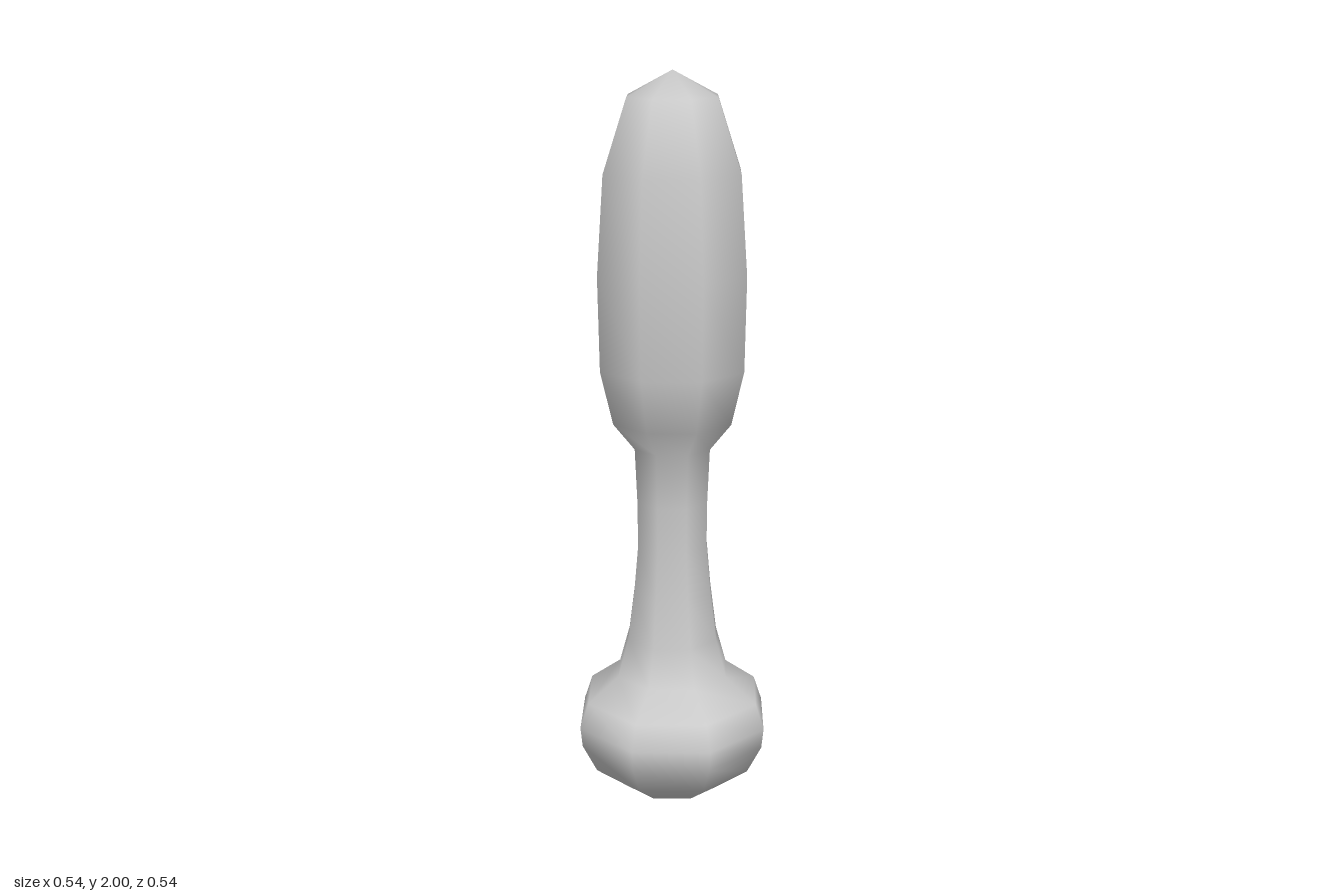
import * as THREE from 'three';

const SIDES = 8;

// Radius and height pairs, from the bottom pole to the tip
const PROFILE = [
  // rounded knob
  [0, 0.005], [0.135, 0.035], [0.225, 0.1], [0.266, 0.18], [0.272, 0.235], [0.248, 0.305],
  // flared neck
  [0.16, 0.37], [0.13, 0.475], [0.112, 0.61], [0.1, 0.74], [0.101, 0.865], [0.108, 1.015],
  // long grip with a domed tip
  [0.168, 1.09], [0.203, 1.235], [0.208, 1.485], [0.19, 1.745], [0.125, 1.935], [0, 2],
];

export function createModel() {
  const group = new THREE.Group();
  group.name = 'knobbedHandle';

  // One smooth eight-sided turned body, with corners on the x and z axes
  const points = PROFILE.map(([r, y]) => new THREE.Vector2(r, y));
  const geometry = new THREE.LatheGeometry(points, SIDES);

  // Point the normals straight along the axis at both poles
  const { position, normal } = geometry.attributes;
  for (let i = 0; i < position.count; i++) {
    const ring = i % points.length;
    if (ring === 0) normal.setXYZ(i, 0, -1, 0);
    if (ring === points.length - 1) normal.setXYZ(i, 0, 1, 0);
  }

  const body = new THREE.Mesh(geometry, new THREE.MeshStandardMaterial({ color: 0xcccccc }));
  body.name = 'turnedBody';
  group.add(body);
  return group;
}
